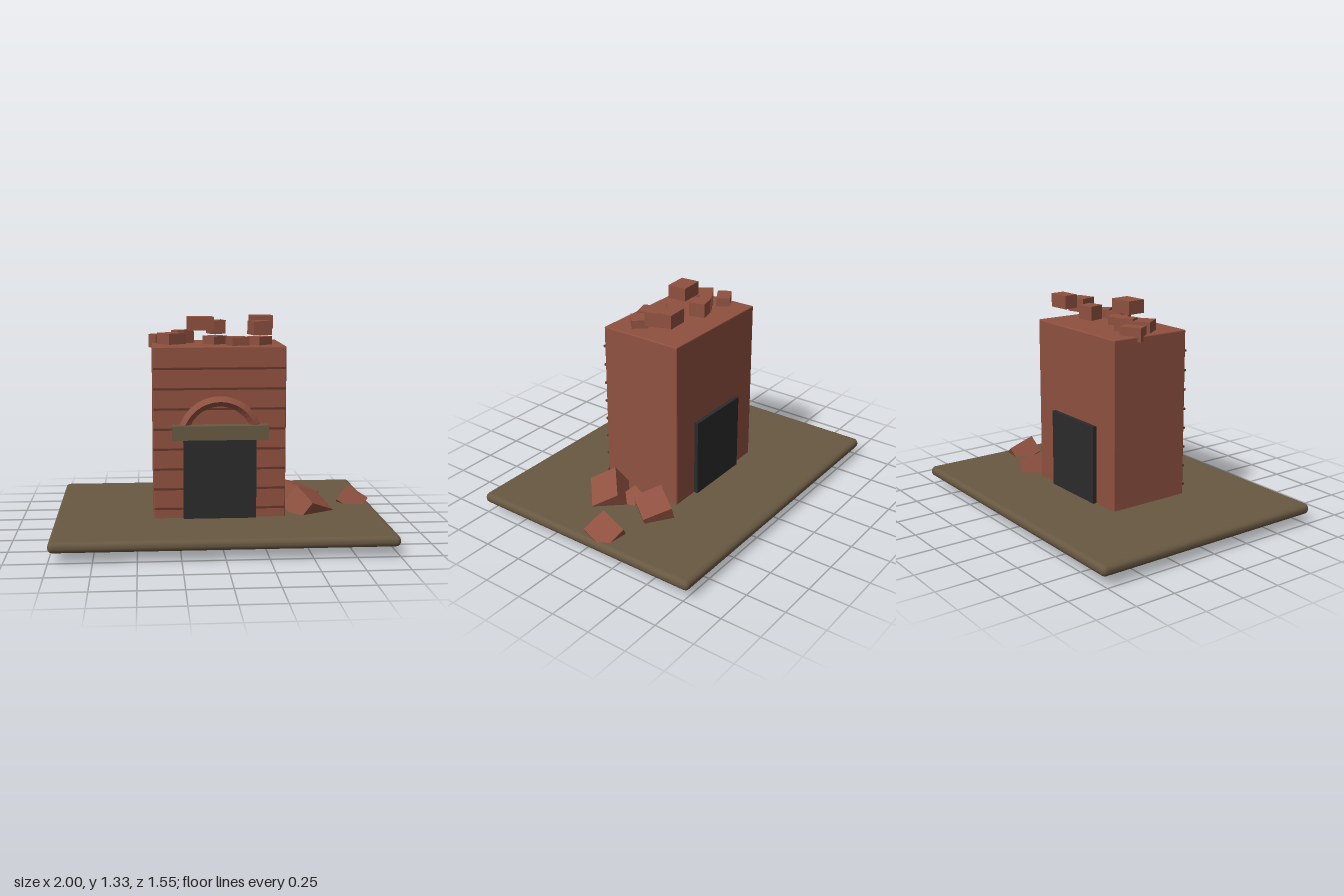
import * as THREE from 'three';
import { RoundedBoxGeometry } from 'three/addons/geometries/RoundedBoxGeometry.js';

const material = (name, color, flatShading = false) => {
  const m = new THREE.MeshStandardMaterial({ color, flatShading });
  m.name = name;
  return m;
};

export function createModel() {
  const brick = material('brick', 0x8f5140, true);
  const joint = material('dark brick joint', 0x643528);
  const earth = material('earth brown', 0x685842);
  const soot = material('soot black', 0x2b2b2b);
  const model = new THREE.Group();
  model.name = 'ruinedFurnace';

  const add = (name, geometry, mat, x, y, z, parent = model) => {
    const mesh = new THREE.Mesh(geometry, mat);
    mesh.name = name;
    mesh.position.set(x, y, z);
    parent.add(mesh);
    return mesh;
  };
  const group = (name) => {
    const g = new THREE.Group();
    g.name = name;
    model.add(g);
    return g;
  };

  // Ground slab and furnace body, its foot just showing through the underside
  add('groundSlab', new RoundedBoxGeometry(2, 0.065, 1.55, 2, 0.03), earth, 0, 0.0975, 0);
  add('furnaceBody', new RoundedBoxGeometry(0.8, 1.107, 0.53, 1, 0.006), brick, 0, 0.6165, 0);

  // Raised courses across the front
  const courses = group('brickCourses');
  for (let i = 0; i < 8; i++) {
    add('course', new THREE.BoxGeometry(0.795, 0.012, 0.02), joint, 0, 0.19 + i * 0.1215, 0.267, courses);
  }

  // Firebox opening, through to the back
  add('fireboxOpening', new THREE.BoxGeometry(0.44, 0.5, 0.58), soot, 0, 0.367, 0);

  // Lintel and the half-ring arch rising behind it
  add('lintel', new THREE.BoxGeometry(0.575, 0.085, 0.085), earth, 0, 0.6625, 0.3025);
  add('arch', new THREE.TorusGeometry(0.225, 0.031, 4, 24, Math.PI), brick, 0, 0.62, 0.284);

  // Loose bricks on top: x, bottom y, z, width, height, depth, turn in degrees
  const loose = group('looseBricks');
  const bricks = [
    [-0.34, 1.14, -0.085, 0.135, 0.083, 0.085, 30],
    [-0.21, 1.17, -0.04, 0.12, 0.08, 0.075, 30],
    [-0.28, 1.165, 0.03, 0.13, 0.072, 0.125, 35],
    [-0.105, 1.255, 0.055, 0.155, 0.082, 0.12, 4],
    [-0.015, 1.165, 0.05, 0.11, 0.055, 0.1, 40],
    [0.005, 1.22, -0.145, 0.1, 0.085, 0.1, 14],
    [0.29, 1.25, -0.145, 0.14, 0.084, 0.09, 4],
    [0.27, 1.22, -0.03, 0.12, 0.085, 0.11, 16],
    [0.255, 1.165, 0.115, 0.115, 0.055, 0.1, 42],
    [0.115, 1.165, 0.15, 0.11, 0.055, 0.11, 17],
  ];
  for (const [x, y, z, w, h, d, turn] of bricks) {
    const b = add('looseBrick', new THREE.BoxGeometry(w, h, d), brick, x, y + h / 2, z, loose);
    b.rotation.y = THREE.MathUtils.degToRad(turn);
  }

  // Fallen blocks: centre, size, and the directions of their width and depth
  const rubble = group('fallenBlocks');
  const blocks = [
    [[0.56, 0.15, 0.122], [0.178, 0.16, 0.218], [0.08, -0.085, 0.135], [0.15, -0.075, -0.14]],
    [[0.545, 0.153, -0.205], [0.18, 0.13, 0.2], [0.14, -0.05, 0.11], [-0.13, 0.06, 0.155]],
    [[0.505, 0.105, -0.01], [0.14, 0.11, 0.12], [0.14, -0.07, 0.07], [-0.06, 0.05, 0.16]],
    [[0.885, 0.13, -0.108], [0.16, 0.12, 0.176], [0.13, -0.08, 0.045], [-0.01, 0.06, 0.165]],
  ];
  for (const [centre, size, across, along] of blocks) {
    const u = new THREE.Vector3(...across).normalize();
    const up = new THREE.Vector3(...along).cross(u).normalize();
    const v = new THREE.Vector3().crossVectors(u, up);
    const b = add('fallenBlock', new THREE.BoxGeometry(...size), brick, ...centre, rubble);
    b.quaternion.setFromRotationMatrix(new THREE.Matrix4().makeBasis(u, up, v));
  }
  return model;
}
